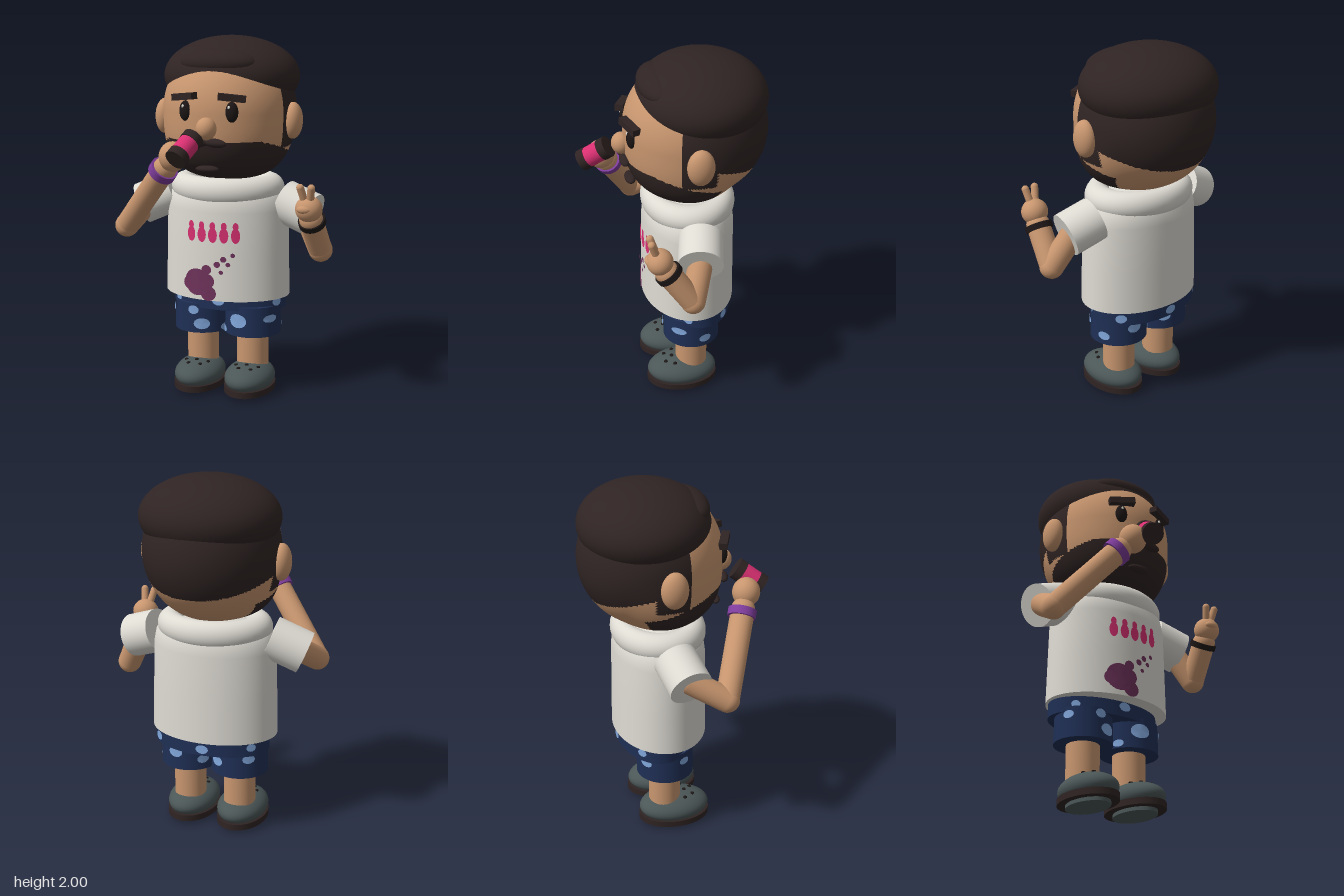
import * as THREE from 'three';
import { mergeVertices } from 'three/addons/utils/BufferGeometryUtils.js';

const mat = (name, color) => {
  const m = new THREE.MeshStandardMaterial({ color });
  m.name = name;
  return m;
};
const CX = -0.025; // mid-plane of the body

export function createModel() {
  const model = new THREE.Group();
  model.name = 'figure';
  const skin = mat('skin', 0xc8966f), hair = mat('hair', 0x2f2423), white = mat('shirt white', 0xdedbd3);
  const navy = mat('navy', 0x1f2f55), blue = mat('light blue', 0x82a8dc), grey = mat('shoe grey', 0x4b5657);
  const pink = mat('pink', 0xd93072), plum = mat('plum', 0x70335c), violet = mat('violet', 0x7f3d9c);
  const black = mat('black', 0x1d1716);

  const add = (name, geo, material, x = 0, y = 0, z = 0) => {
    const m = new THREE.Mesh(geo, material);
    m.name = name;
    m.position.set(x, y, z);
    model.add(m);
    return m;
  };
  const ball = (name, material, x, y, z, rx, ry = rx, rz = rx, seg = 32) =>
    add(name, new THREE.SphereGeometry(1, seg, seg * 0.75).scale(rx, ry, rz), material, x, y, z);
  // A cylinder or capsule running from point a to point b
  const rod = (name, material, a, b, r, round = true) => {
    const A = new THREE.Vector3(...a), B = new THREE.Vector3(...b), d = B.clone().sub(A), len = d.length();
    const geo = round ? new THREE.CapsuleGeometry(r, len, 10, 28) : new THREE.CylinderGeometry(r, r, len, 36);
    const m = add(name, geo, material);
    m.position.copy(A).lerp(B, 0.5);
    m.quaternion.setFromUnitVectors(new THREE.Vector3(0, 1, 0), d.normalize());
    return m;
  };
  // A short ring around a limb, centred at c and facing along dir
  const band = (name, material, c, dir, r, w) => {
    const d = new THREE.Vector3(...dir).setLength(w / 2), p = new THREE.Vector3(...c);
    rod(name, material, p.clone().sub(d).toArray(), p.clone().add(d).toArray(), r, false);
  };
  // A flat oval wrapped on an upright elliptical cylinder
  const decal = (name, material, cyl, angle, y, w, h, lift = 0.006) => {
    const geo = new THREE.CircleGeometry(1, 24), p = geo.attributes.position;
    for (let i = 0; i < p.count; i++) {
      const t = angle + p.getX(i) * w / cyl.rx;
      p.setXYZ(i, cyl.x + Math.sin(t) * (cyl.rx + lift), y + p.getY(i) * h, cyl.z + Math.cos(t) * (cyl.rz + lift));
    }
    geo.computeVertexNormals();
    return add(name, geo, material);
  };

  // Head: rounded block, fuller at the jaw, with beard and back hair as regions
  const hairy = (y, z) => {
    const beard = y < 1.455 - Math.max(0, 0.13 - z) * 0.3 && z > -0.22 + (1.34 - y) * 0.6;
    const nape = z > -0.18 ? 1.41 : 1.5 + (z + 0.18) * 0.36;
    return beard || (z < 0.0 && y > nape);
  };
  let head = new THREE.SphereGeometry(1, 160, 120);
  head.deleteAttribute('uv');
  head.deleteAttribute('normal');
  head = mergeVertices(head);
  const hp = head.attributes.position, v = new THREE.Vector3();
  for (let i = 0; i < hp.count; i++) {
    v.fromBufferAttribute(hp, i);
    const n = v.y < 0 ? 2 + THREE.MathUtils.smoothstep(v.z, -0.5, 0.25) : 2;
    const k = Math.pow(Math.pow(Math.hypot(v.x, v.z), n) + Math.pow(Math.abs(v.y), n), -1 / n);
    hp.setXYZ(i, v.x * k * 0.367, 1.6 + v.y * k * 0.38, -0.13 + v.z * k * 0.387);
  }
  head.computeVertexNormals();
  const parts = [[], []], idx = head.index.array;
  for (let i = 0; i < idx.length; i += 3) {
    const t = [idx[i], idx[i + 1], idx[i + 2]];
    const mean = (f) => (f(t[0]) + f(t[1]) + f(t[2])) / 3;
    parts[hairy(mean((j) => hp.getY(j)), mean((j) => hp.getZ(j))) ? 1 : 0].push(...t);
  }
  head.setIndex(parts[0].concat(parts[1]));
  head.addGroup(0, parts[0].length, 0);
  head.addGroup(parts[0].length, parts[1].length, 1);
  add('head', head, [skin, hair], CX);
  ball('hairCap', hair, CX, 1.78, -0.16, 0.378, 0.22, 0.35, 64);
  ball('hairFringe', hair, CX, 1.86, 0.06, 0.22, 0.08, 0.12);

  // Face
  ball('nose', skin, CX, 1.53, 0.265, 0.055, 0.06, 0.055);
  ball('lowerLip', hair, CX - 0.01, 1.31, 0.222, 0.065, 0.02, 0.03);
  for (const s of [-1, 1]) {
    ball('ear', skin, CX + s * 0.372, 1.55, -0.09, 0.053, 0.1, 0.072);
    ball('eye', black, CX + s * 0.128, 1.617, 0.225, 0.035, 0.055, 0.03);
    ball('eyeGlint', white, CX + s * 0.128 - 0.008, 1.643, 0.248, 0.008, 0.01, 0.006, 12);
    const brow = add('eyebrow', new THREE.BoxGeometry(0.145, 0.036, 0.045), hair, CX + s * 0.132, 1.693, 0.237);
    brow.rotation.set(0, s * 0.4, -s * 0.11);
    ball('moustache', hair, CX + s * 0.045, 1.455, 0.255, 0.062, 0.024, 0.03).rotation.z = -s * 0.1;
  }

  // Shirt
  const profile = [[0, 0.575], [0.345, 0.575], [0.357, 0.57], [0.357, 0.57], [0.352, 0.8], [0.346, 1.06], [0.332, 1.13],
    [0.29, 1.19], [0, 1.22]].map(([x, y]) => new THREE.Vector2(x, y));
  add('shirt', new THREE.LatheGeometry(profile, 72).scale(1, 1, 0.724), white, CX, 0, -0.09);
  add('collar', new THREE.TorusGeometry(0.246, 0.075, 24, 72).rotateX(Math.PI / 2).scale(1, 1, 0.8), white, CX, 1.17, -0.09);

  // Shirt print
  const torso = { x: CX, z: -0.09, rx: 0.354, rz: 0.256 };
  const print = (name, m, x, y, w, h = w, lift = 0.006) =>
    decal(name, m, torso, Math.asin((x - CX) / torso.rx), y, w, h, lift);
  for (let i = 0; i < 5; i++) {
    const x = -0.15 + i * 0.0625;
    print('pinBody', pink, x, 0.94, 0.025, 0.042);
    print('pinHead', pink, x, 0.99, 0.016, 0.023);
  }
  for (const [x, y, r] of [[-0.115, 0.67, 0.08], [-0.05, 0.612, 0.045], [-0.06, 0.745, 0.028], [-0.165, 0.66, 0.038],
    [-0.06, 0.68, 0.045], [0, 0.778, 0.018], [0.035, 0.808, 0.017], [0.06, 0.78, 0.013], [0.085, 0.832, 0.013],
    [0.022, 0.735, 0.012]]) print('splash', plum, x, y, r, r * 0.95, 0.008);

  // Shorts with oval spots
  const waist = { x: CX, z: -0.128, rx: 0.328, rz: 0.203 };
  add('shortsWaist', new THREE.CylinderGeometry(1, 1, 0.11, 64).scale(waist.rx, 1, waist.rz), navy, CX, 0.547, waist.z);
  for (const [a, y, w, h] of [[0, 0.545, 0.035, 0.025], [1.15, 0.54, 0.04, 0.026], [-0.9, 0.53, 0.03, 0.02],
    [2.2, 0.535, 0.04, 0.025], [3.2, 0.53, 0.035, 0.025], [4.1, 0.545, 0.035, 0.022]])
    decal('waistSpot', blue, waist, a, y, w, h);
  const spots = [
    [[-1.1, 0.47, 0.03, 0.022], [0, 0.48, 0.03, 0.025], [0.3, 0.4, 0.045, 0.032], [1.2, 0.37, 0.03, 0.02],
      [2.6, 0.43, 0.04, 0.03], [3.8, 0.46, 0.035, 0.025]],
    [[-0.25, 0.437, 0.052, 0.04], [0.95, 0.45, 0.045, 0.022], [-1, 0.37, 0.03, 0.02], [1.9, 0.4, 0.035, 0.025],
      [3.0, 0.45, 0.04, 0.03], [4.0, 0.41, 0.035, 0.025]],
  ];

  // Legs and shoes
  [-1, 1].forEach((s, side) => {
    const x = CX + s * 0.15, tube = { x, z: -0.09, rx: 0.157, rz: 0.16 };
    add('shortsLeg', new THREE.CylinderGeometry(0.155, 0.159, 0.17, 48), navy, x, 0.43, -0.09);
    for (const [a, y, w, h] of spots[side]) decal('legSpot', blue, tube, a, y, w, h);
    add('leg', new THREE.CylinderGeometry(0.09, 0.09, 0.3, 40), skin, x, 0.25, -0.092);
    ball('shoeUpper', grey, x, 0.09, -0.037, 0.138, 0.085, 0.2, 40);
    add('shoeSole', new THREE.CylinderGeometry(1, 1, 0.035, 48).scale(0.14, 1, 0.203), hair, x, 0.037, -0.037);
    add('shoeTread', new THREE.CylinderGeometry(1, 1, 0.022, 40).scale(0.1, 1, 0.15), grey, x, 0.011, -0.037);
    for (const [hx, hz] of [[-0.065, 0.05], [0, 0.06], [0.065, 0.05], [-0.035, 0.1], [0.035, 0.1]]) {
      const hy = 0.085 * Math.sqrt(1 - (hx / 0.138) ** 2 - (hz / 0.2) ** 2);
      ball('shoeHole', black, x + hx, 0.09 + hy, -0.037 + hz, 0.012, 0.006, 0.012, 12);
    }
  });

  // Right arm, raised to the mouth
  const elbowR = [-0.535, 0.96, 0.155], handR = [-0.175, 1.39, 0.36];
  rod('rightSleeve', white, [-0.34, 1.13, -0.075], [-0.52, 1.05, -0.035], 0.117, false);
  rod('rightUpperArm', skin, [-0.48, 1.07, -0.04], elbowR, 0.066);
  rod('rightForearm', skin, elbowR, [-0.235, 1.32, 0.325], 0.064);
  ball('rightHand', skin, ...handR, 0.075, 0.08, 0.075);
  band('purpleWristband', violet, [-0.25, 1.305, 0.315], [0.3, 0.36, 0.17], 0.076, 0.045);

  // Handheld cylinder with dark ends
  const top = new THREE.Vector3(-0.07, 1.49, 0.33), base = new THREE.Vector3(-0.12, 1.39, 0.468);
  const along = (t) => top.clone().lerp(base, t).toArray();
  rod('canTop', hair, along(0), along(0.25), 0.059, false);
  rod('canMiddle', pink, along(0.25), along(0.74), 0.056, false);
  rod('canBase', hair, along(0.74), along(1), 0.059, false);

  // Left arm, showing two fingers
  const elbowL = [0.53, 0.86, -0.02];
  rod('leftSleeve', white, [0.3, 1.1, -0.105], [0.47, 1.04, -0.07], 0.12, false);
  rod('leftUpperArm', skin, [0.43, 1.04, -0.08], elbowL, 0.066);
  rod('leftForearm', skin, elbowL, [0.51, 1.05, 0.115], 0.064);
  ball('leftHand', skin, 0.505, 1.115, 0.15, 0.073, 0.07, 0.07);
  band('blackWristband', black, [0.512, 1.04, 0.105], [-0.02, 0.19, 0.135], 0.074, 0.032);
  rod('indexFinger', skin, [0.488, 1.15, 0.165], [0.468, 1.235, 0.195], 0.02);
  rod('middleFinger', skin, [0.515, 1.15, 0.165], [0.528, 1.235, 0.195], 0.02);
  ball('thumb', skin, 0.492, 1.12, 0.205, 0.04, 0.022, 0.022, 20);
  return model;
}
